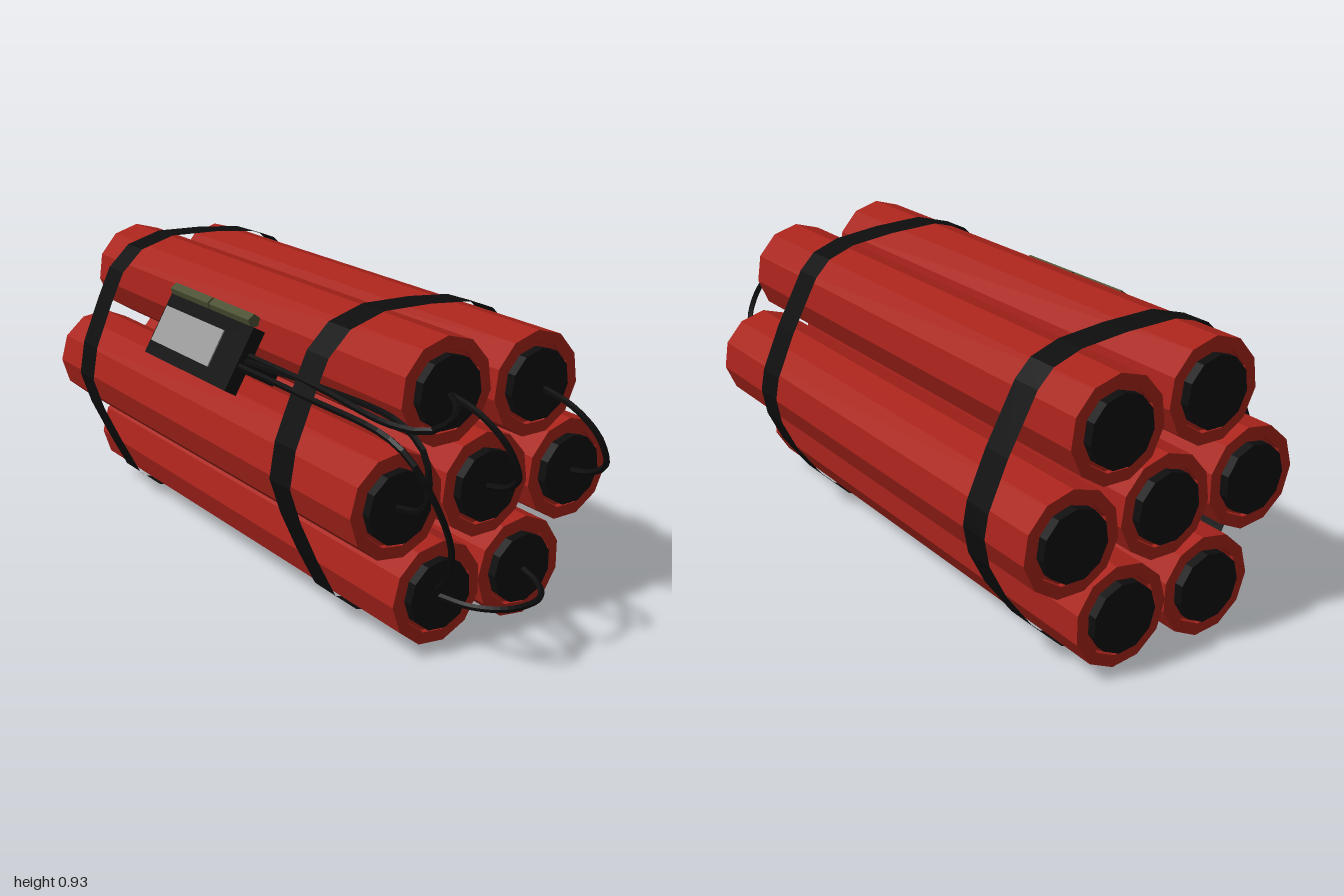
import * as THREE from 'three';

const mat = (color, extra = {}) => new THREE.MeshStandardMaterial({ color, flatShading: true, ...extra });

export function createModel() {
  const root = new THREE.Group();
  const red = mat(0xa8231b), black = mat(0x0d0d0d), green = mat(0x4b5033), grey = mat(0x999999);
  const strapMat = mat(0x0d0d0d, { side: THREE.DoubleSide });

  const add = (name, geometry, material, parent = root) => {
    const mesh = new THREE.Mesh(geometry, material);
    mesh.name = name;
    parent.add(mesh);
    return mesh;
  };

  // Seven eleven-sided tubes: x, y, twist
  const SIDES = 11, FRONT = 0.765, BACK = -0.978, R = 0.155;
  const sticks = [
    [-0.153, 0.77, 0], [0.168, 0.733, 0],
    [-0.315, 0.478, 0.14], [-0.006, 0.471, 0], [0.308, 0.448, 0],
    [-0.17, 0.183, 0.12], [0.133, 0.183, 0.14],
  ];
  const profile = [
    [0.105, BACK + 0.012], [0.116, BACK + 0.012], [0.119, BACK], [R, BACK],
    [R, FRONT], [0.119, FRONT], [0.116, FRONT - 0.012], [0.105, FRONT - 0.012],
  ].map(([r, z]) => new THREE.Vector2(r, z));
  for (const [x, y, twist] of sticks) {
    const stick = new THREE.Group();
    stick.name = 'stick';
    stick.position.set(x, y, 0);
    const start = Math.PI - twist;
    add('stickCasing', new THREE.LatheGeometry(profile, SIDES, start).rotateX(Math.PI / 2), red, stick);
    // Dark plugs standing slightly proud of both ends
    for (const z of [FRONT, BACK]) {
      const plug = new THREE.CylinderGeometry(0.106, 0.106, 0.034, SIDES, 1, false, start);
      add('endPlug', plug.rotateX(Math.PI / 2), black, stick).position.z = z;
    }
    root.add(stick);
  }

  // Thin straps wrapped round the bundle
  const loop = [
    [-0.15, 0.928], [0.02, 0.922], [0.17, 0.905], [0.26, 0.872], [0.31, 0.82], [0.40, 0.65],
    [0.46, 0.51], [0.472, 0.44], [0.455, 0.355], [0.40, 0.25], [0.31, 0.13], [0.21, 0.035],
    [0.13, 0.007], [0, 0.001], [-0.15, 0.006], [-0.24, 0.035], [-0.315, 0.1], [-0.38, 0.23],
    [-0.44, 0.36], [-0.475, 0.47], [-0.455, 0.58], [-0.395, 0.72], [-0.345, 0.825], [-0.27, 0.895],
  ];
  const strap = (name, zAt, width) => {
    const pos = [], index = [], n = loop.length;
    loop.forEach(([x, y], i) => {
      const z = zAt(x, y), j = (i + 1) % n;
      pos.push(x, y, z - width / 2, x, y, z + width / 2);
      index.push(2 * i, 2 * i + 1, 2 * j, 2 * j, 2 * i + 1, 2 * j + 1);
    });
    const g = new THREE.BufferGeometry();
    g.setAttribute('position', new THREE.Float32BufferAttribute(pos, 3));
    g.setIndex(index);
    g.computeVertexNormals();
    add(name, g, strapMat);
  };
  strap('frontStrap', (x, y) => 0.425 - 0.012 * Math.sin(x * 3.3) * (y > 0.3 ? 1 : 0.3), 0.105);
  strap('rearStrap', () => -0.77, 0.1);

  // Timer: local x points outward, local y runs up the tilted panel
  const timer = new THREE.Group();
  timer.name = 'timer';
  timer.position.set(-0.38, 0.727, -0.135);
  timer.rotation.z = -0.54;
  root.add(timer);
  const box = (name, size, at, material) =>
    add(name, new THREE.BoxGeometry(...size), material, timer).position.set(...at);
  box('timerPanel', [0.044, 0.205, 0.49], [0, 0, 0], black);
  box('timerScreen', [0.008, 0.12, 0.35], [-0.022, 0, -0.06], grey);
  box('timerMount', [0.16, 0.055, 0.4], [0.085, -0.005, 0], black);

  // Two pentagonal batteries on the upper edge
  for (const z of [-0.262, -0.025]) {
    const g = new THREE.CylinderGeometry(0.022, 0.022, 0.228, 5, 1, false, Math.PI).rotateX(Math.PI / 2);
    add('battery', g, green).position.set(-0.332, 0.838, z);
  }

  // Wires
  const wire = (name, points) => {
    const curve = new THREE.CatmullRomCurve3(points.map((p) => new THREE.Vector3(...p)), false, 'centripetal');
    add(name, new THREE.TubeGeometry(curve, points.length * 4, 0.0095, 5), black);
  };
  // Links between neighbouring sticks, bowed out to the front
  const link = (a, b) => wire('linkWire', [[0, 0.77], [0.1, 0.88], [0.3, 0.945], [0.5, 0.96], [0.72, 0.945], [0.9, 0.87], [1, 0.77]]
    .map(([t, z]) => [a[0] + (b[0] - a[0]) * t, a[1] + (b[1] - a[1]) * t, z]));
  link([-0.15, 0.765], [-0.01, 0.47]);
  link([0.185, 0.72], [0.31, 0.445]);
  link([-0.175, 0.18], [0.14, 0.18]);
  // Leads from the timer
  wire('timerLead', [[-0.395, 0.715, 0.08], [-0.42, 0.73, 0.5], [-0.44, 0.735, 0.88], [-0.425, 0.695, 0.955],
    [-0.36, 0.56, 0.99], [-0.3, 0.43, 0.975], [-0.24, 0.3, 0.89], [-0.18, 0.19, 0.77]]);
  wire('timerLead', [[-0.375, 0.725, 0.08], [-0.375, 0.75, 0.5], [-0.37, 0.745, 0.85], [-0.365, 0.69, 0.94],
    [-0.362, 0.59, 0.955], [-0.345, 0.52, 0.9], [-0.325, 0.48, 0.77]]);
  wire('timerLead', [[-0.36, 0.74, 0.08], [-0.38, 0.75, 0.5], [-0.4, 0.75, 0.85], [-0.365, 0.755, 0.95],
    [-0.27, 0.765, 0.93], [-0.2, 0.768, 0.86], [-0.15, 0.765, 0.77]]);

  return root;
}
